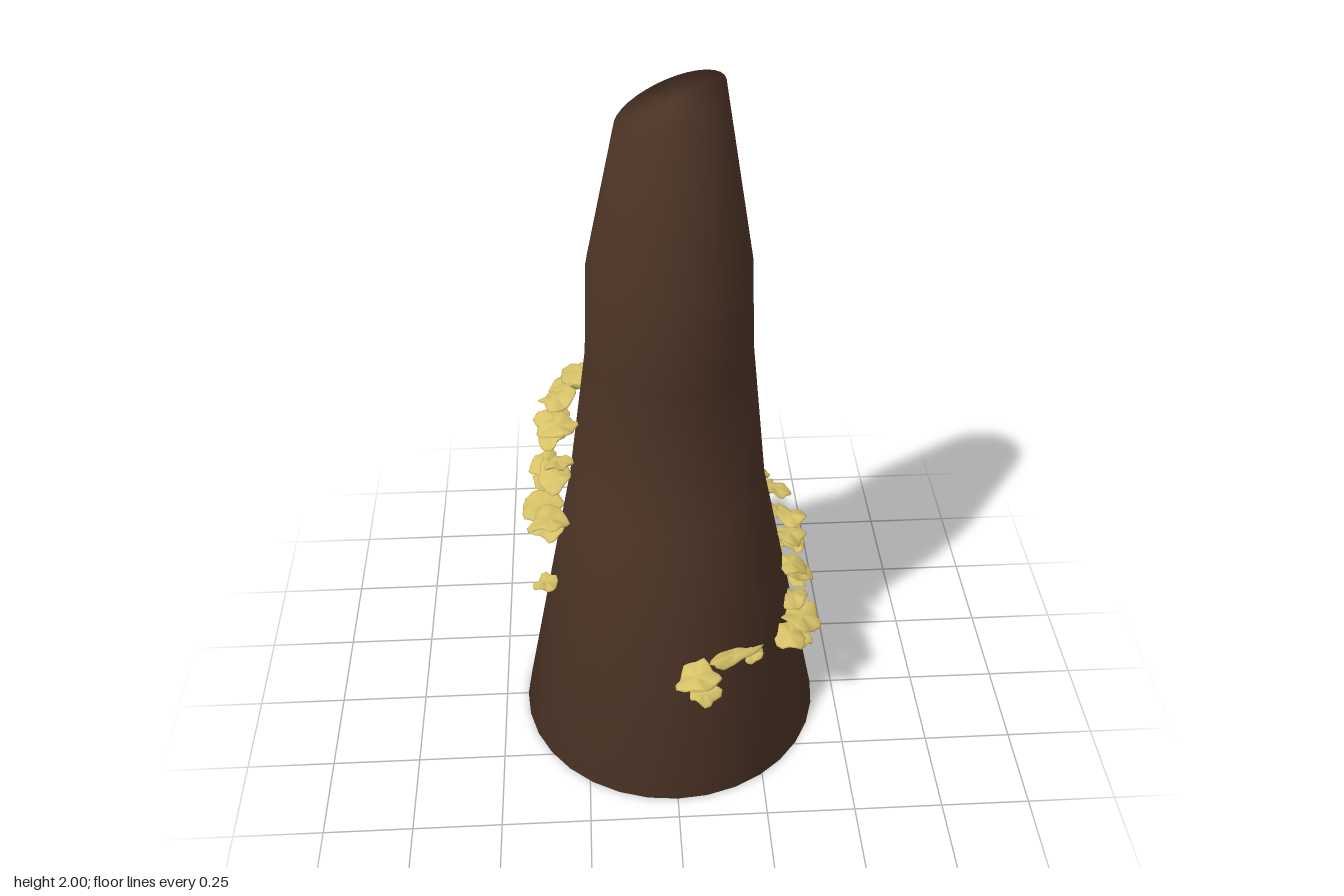
import * as THREE from 'three';
import { mergeVertices } from 'three/addons/utils/BufferGeometryUtils.js';

const SIDES = 32;
// Trunk sections: height, centre z, radius, rise per unit of x (slanted cut)
const RINGS = [
  [0, 0, 0.435, 0],
  [0.74, -0.127, 0.28, 0],
  [1.26, 0, 0.22, 0],
  [1.52, 0, 0.21, 0],
  [1.945, 0, 0.132, 0.42],
];

function trunkGeometry() {
  const pos = [], idx = [];
  for (const [y, cz, r, slope] of RINGS) {
    for (let i = 0; i < SIDES; i++) {
      const a = (i / SIDES) * Math.PI * 2;
      const x = Math.sin(a) * r;
      pos.push(x, y + slope * x, cz + Math.cos(a) * r);
    }
  }
  const bottom = RINGS.length * SIDES, top = bottom + 1;
  pos.push(0, 0, 0, 0, RINGS[RINGS.length - 1][0], 0);
  const last = (RINGS.length - 1) * SIDES;
  for (let i = 0; i < SIDES; i++) {
    const j = (i + 1) % SIDES;
    for (let k = 0; k < RINGS.length - 1; k++) {
      const a = k * SIDES + i, b = k * SIDES + j;
      idx.push(a, b, b + SIDES, a, b + SIDES, a + SIDES);
    }
    idx.push(bottom, j, i, top, last + i, last + j);
  }
  const g = new THREE.BufferGeometry();
  g.setAttribute('position', new THREE.Float32BufferAttribute(pos, 3));
  g.setIndex(idx);
  g.computeVertexNormals();
  return g;
}

// Centre z of the bent trunk at a height
function trunkCentre(y) {
  for (let k = 1; k < RINGS.length; k++) {
    const [y0, z0] = RINGS[k - 1], [y1, z1] = RINGS[k];
    if (y <= y1) return z0 + ((z1 - z0) * (y - y0)) / (y1 - y0);
  }
  return 0;
}

// Thin wavy shelf with a ragged rim, local +z pointing away from the trunk
function shelfGeometry(width, depth, seed) {
  let g = new THREE.SphereGeometry(1, 18, 8);
  g.deleteAttribute('uv');
  g.deleteAttribute('normal');
  g = mergeVertices(g);
  const p = g.attributes.position;
  for (let i = 0; i < p.count; i++) {
    const x = p.getX(i), y = p.getY(i), z = p.getZ(i);
    const a = Math.atan2(z, x), r = Math.hypot(x, z);
    const rim = 1 + 0.1 * Math.sin(3 * a + seed) + 0.09 * Math.sin(5 * a + seed * 2.3) + 0.06 * Math.cos(4 * a);
    const wave = r * (0.008 * Math.sin(2 * a + seed * 1.7) + 0.005 * Math.sin(5 * a + seed)) - 0.008 * z * r;
    p.setXYZ(i, x * rim * width * 0.5, y * 0.009 + wave, z * rim * depth * 0.5);
  }
  g.computeVertexNormals();
  return g;
}

// Shelves: x, y, z, width, depth, roll
const LEFT = [
  [0.2, 0.58, -0.36, 0.12, 0.06, 0.1], [0.25, 0.6, -0.33, 0.12, 0.09, -0.1],
  [0.28, 0.63, -0.25, 0.06, 0.07, 0.4], [0.29, 0.56, -0.29, 0.12, 0.09, 0.15],
  [0.33, 0.57, -0.25, 0.1, 0.09, 0.2], [0.32, 0.53, -0.2, 0.13, 0.08, 0.15],
  [0.37, 0.54, -0.16, 0.11, 0.09, 0.1], [0.36, 0.52, -0.1, 0.12, 0.09, 0.2],
  [0.36, 0.46, -0.03, 0.11, 0.1, 0.2], [0.38, 0.43, -0.17, 0.1, 0.07, 0.1],
  [0.38, 0.4, -0.07, 0.11, 0.1, 0.2], [0.39, 0.36, -0.1, 0.14, 0.07, 0.15],
  [0.36, 0.38, 0.02, 0.11, 0.09, 0.15], [0.38, 0.355, 0.08, 0.13, 0.12, 0.1],
  [0.34, 0.34, 0.14, 0.1, 0.1, -0.1], [0.39, 0.27, 0.08, 0.06, 0.05, 0],
  [0.35, 0.36, -0.24, 0.06, 0.06, 0.2],
];
const FRONT = [
  [0.06, 0.38, 0.33, 0.12, 0.11, -0.15], [0.17, 0.4, 0.27, 0.17, 0.04, 0.1],
  [0.08, 0.31, 0.33, 0.09, 0.06, 0], [0.23, 0.36, 0.23, 0.06, 0.04, -0.3],
];
const RIGHT = [
  [-0.23, 1.02, -0.25, 0.14, 0.12, 0.15], [-0.28, 1.0, -0.22, 0.1, 0.09, -0.1],
  [-0.3, 1.05, -0.08, 0.09, 0.1, 0.1], [-0.3, 1.0, -0.02, 0.1, 0.11, 0],
  [-0.32, 0.88, -0.22, 0.12, 0.1, 0.2], [-0.31, 0.86, -0.04, 0.07, 0.08, -0.2],
  [-0.32, 0.8, -0.06, 0.14, 0.09, 0.1], [-0.33, 0.78, -0.26, 0.09, 0.08, 0.1],
  [-0.34, 0.69, 0, 0.12, 0.11, -0.1], [-0.35, 0.72, -0.22, 0.1, 0.09, 0.2],
  [-0.34, 0.65, -0.24, 0.12, 0.1, -0.1], [-0.37, 0.59, -0.19, 0.15, 0.12, 0.05],
  [-0.34, 0.65, -0.02, 0.1, 0.09, 0.1], [-0.36, 0.48, 0.03, 0.07, 0.07, 0],
];

export function createModel() {
  const model = new THREE.Group();
  const bark = new THREE.MeshStandardMaterial({ color: 0x4d3426 });
  const fungus = new THREE.MeshStandardMaterial({ color: 0xd6c167 });

  const trunk = new THREE.Mesh(trunkGeometry(), bark);
  trunk.name = 'trunk';
  model.add(trunk);

  const clusters = { leftFungi: LEFT, frontFungi: FRONT, rightFungi: RIGHT };
  let seed = 0;
  for (const [name, shelves] of Object.entries(clusters)) {
    const cluster = new THREE.Group();
    cluster.name = name;
    for (const [x, y, z, width, depth, roll] of shelves) {
      seed += 1.37;
      const shelf = new THREE.Mesh(shelfGeometry(width, depth, seed), fungus);
      shelf.name = 'shelfFungus';
      shelf.position.set(x, y, z);
      shelf.rotation.set(0.08 * Math.sin(seed), Math.atan2(x, z - trunkCentre(y)), -roll, 'YXZ');
      cluster.add(shelf);
    }
    model.add(cluster);
  }
  return model;
}
